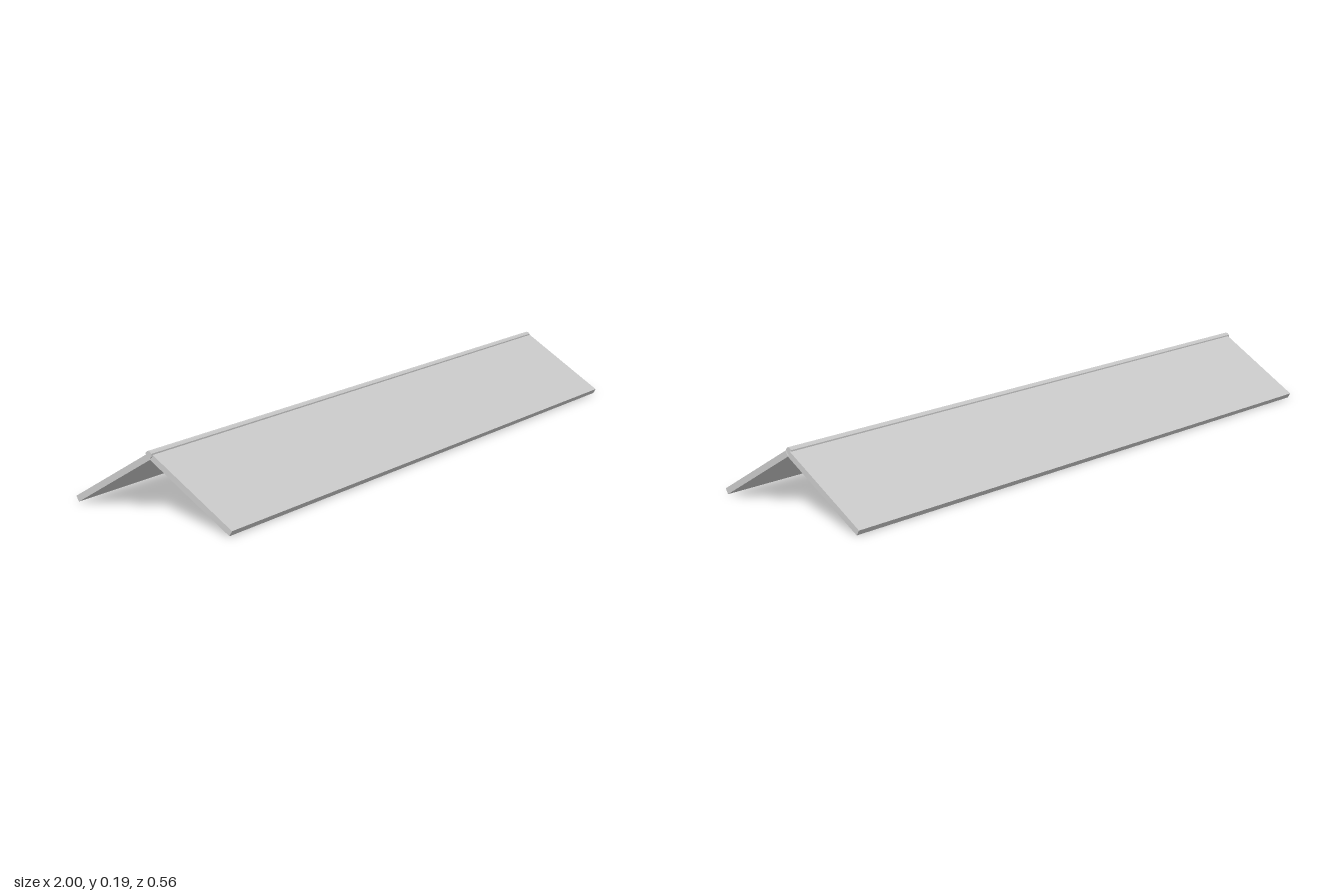
import * as THREE from 'three';

export function createModel() {
  const group = new THREE.Group();
  const material = new THREE.MeshStandardMaterial({ color: 0xcccccc, flatShading: true });

  // Two sloping panels whose inner edges meet below the ridge
  const eave = 0.27, rise = 0.163, thickness = 0.018;
  const slope = Math.atan2(rise, eave);
  const panel = new THREE.BoxGeometry(1.995, thickness, Math.hypot(eave, rise));
  for (const side of [1, -1]) {
    const mesh = new THREE.Mesh(panel, material);
    mesh.name = side > 0 ? 'frontRoofPanel' : 'backRoofPanel';
    mesh.rotation.x = side * slope;
    mesh.position.set(
      0.0025,
      rise / 2 + (thickness / 2) * Math.cos(slope),
      side * (eave / 2 + (thickness / 2) * Math.sin(slope))
    );
    group.add(mesh);
  }

  // Thin faceted ridge rod filling the notch, slightly past one end
  const rod = new THREE.CylinderGeometry(0.0108, 0.0108, 1.997, 8);
  rod.rotateY(Math.PI / 8);
  rod.rotateZ(Math.PI / 2);
  const ridge = new THREE.Mesh(rod, material);
  ridge.name = 'ridgeCap';
  ridge.position.set(-0.0015, 0.178, 0);
  group.add(ridge);

  return group;
}
